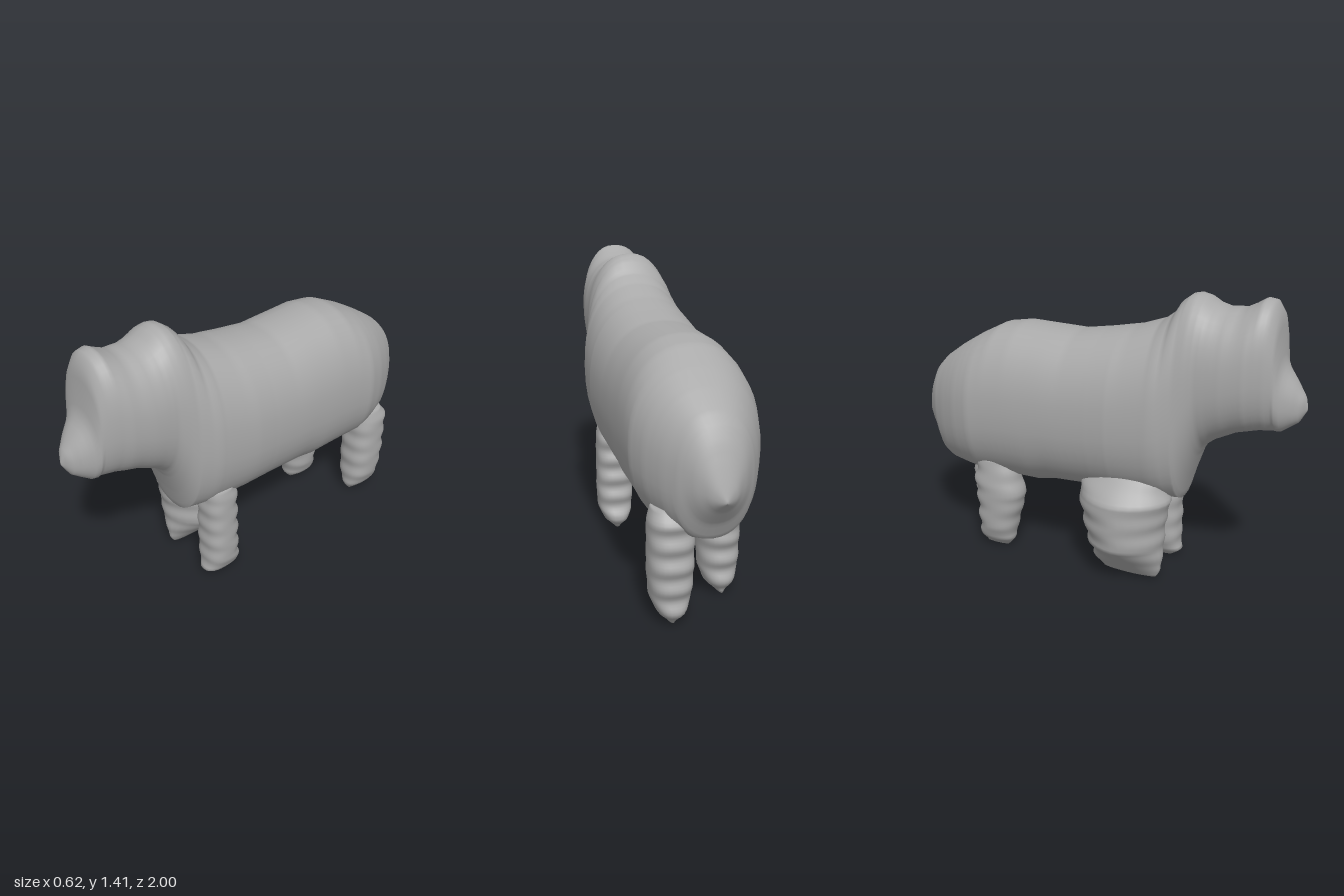
import * as THREE from 'three';

// Read a value from a list of [position, value] pairs
function sample(table, p) {
  if (p <= table[0][0]) return table[0][1];
  for (let i = 1; i < table.length; i++) {
    const [a, va] = table[i - 1], [b, vb] = table[i];
    if (p <= b) return va + (vb - va) * (p - a) / (b - a);
  }
  return table[table.length - 1][1];
}

// Skin a list of closed rings and close both ends
function loft(rings) {
  const n = rings[0].length, pos = [], idx = [];
  rings.forEach(r => r.forEach(p => pos.push(p.x, p.y, p.z)));
  for (let i = 0; i < rings.length - 1; i++) {
    for (let j = 0; j < n; j++) {
      const k = (j + 1) % n, a = i * n + j, b = i * n + k;
      idx.push(a, b, a + n, b, b + n, a + n);
    }
  }
  [0, rings.length - 1].forEach((r, end) => {
    const c = pos.length / 3, mid = new THREE.Vector3();
    rings[r].forEach(p => mid.addScaledVector(p, 1 / n));
    pos.push(mid.x, mid.y, mid.z);
    for (let j = 0; j < n; j++) {
      const a = r * n + j, b = r * n + (j + 1) % n;
      end ? idx.push(a, b, c) : idx.push(b, a, c);
    }
  });
  const g = new THREE.BufferGeometry();
  g.setAttribute('position', new THREE.Float32BufferAttribute(pos, 3));
  g.setIndex(idx);
  g.computeVertexNormals();
  return g;
}

// Superellipse coordinates
function oval(count, power) {
  const f = v => Math.sign(v) * Math.pow(Math.abs(v), 2 / power);
  return Array.from({ length: count }, (_, j) => {
    const a = j / count * Math.PI * 2;
    return [f(Math.cos(a)), f(Math.sin(a))];
  });
}

// Outline of back, ears and muzzle, from tail to nose: [z, y]
const back = [[-1, 0.65], [-0.98, 0.72], [-0.96, 0.78], [-0.93, 0.86], [-0.9, 0.92], [-0.85, 0.97],
  [-0.75, 1.04], [-0.65, 1.1], [-0.52, 1.165], [-0.4, 1.185], [-0.1, 1.175], [0.05, 1.2], [0.2, 1.23],
  [0.33, 1.275], [0.39, 1.32], [0.42, 1.37], [0.46, 1.4], [0.49, 1.405], [0.53, 1.395], [0.57, 1.37],
  [0.62, 1.355], [0.7, 1.36], [0.75, 1.385], [0.79, 1.41], [0.83, 1.405], [0.86, 1.36], [0.87, 1.3],
  [0.88, 1.17], [0.9, 1.12], [0.95, 1.05], [0.99, 0.99], [1, 0.95]];

// Outline of belly, chest and chin: [z, y]
const belly = [[-1, 0.635], [-0.95, 0.58], [-0.89, 0.5], [-0.85, 0.42], [-0.8, 0.4], [-0.6, 0.38],
  [-0.3, 0.38], [-0.2, 0.4], [0, 0.41], [0.45, 0.415], [0.48, 0.52], [0.52, 0.64], [0.55, 0.7],
  [0.6, 0.74], [0.7, 0.79], [0.8, 0.815], [0.9, 0.825], [0.97, 0.875], [1, 0.93]];

// Half-width seen from above: [z, x]
const girth = [[-1, 0.005], [-0.98, 0.05], [-0.93, 0.11], [-0.87, 0.165], [-0.8, 0.21], [-0.7, 0.26],
  [-0.6, 0.292], [0.15, 0.292], [0.36, 0.272], [0.45, 0.237], [0.54, 0.212], [0.65, 0.205],
  [0.75, 0.19], [0.83, 0.16], [0.88, 0.13], [0.94, 0.085], [0.98, 0.045], [1, 0.005]];

function bodyGeometry() {
  const stations = Array.from({ length: 101 }, (_, i) => -1 + i * 0.02);
  [back, belly, girth].forEach(t => t.forEach(([z]) => stations.push(z)));
  const zs = [...new Set(stations.map(z => +z.toFixed(3)))].sort((a, b) => a - b);
  const ring = oval(40, 2.25);
  return loft(zs.map(z => {
    const top = sample(back, z), low = sample(belly, z), w = sample(girth, z);
    return ring.map(([u, v]) => new THREE.Vector3(
      0.012 + u * w, (top + low) / 2 + v * (top - low) / 2, z));
  }));
}

// Leg rows: [y, back z, front z, half-width]
function legGeometry(cx, rows, power) {
  const column = k => rows.map(r => [r[0], r[k]]);
  const [zBack, zFront, half] = [1, 2, 3].map(column);
  const y0 = rows[0][0], y1 = rows[rows.length - 1][0], ring = oval(28, power);
  return loft(Array.from({ length: 41 }, (_, i) => {
    const y = y0 + (y1 - y0) * i / 40;
    // Uneven, wrinkled front and back edges
    const ripple = 0.008 * Math.sin(y * 62);
    const b = sample(zBack, y) + ripple, f = sample(zFront, y) + ripple * 0.4, w = sample(half, y);
    return ring.map(([u, v]) => new THREE.Vector3(cx + u * w, y, (b + f) / 2 - v * (f - b) / 2));
  }));
}

export function createModel() {
  const group = new THREE.Group();
  const grey = new THREE.MeshStandardMaterial({ color: 0xaaaaaa });
  grey.name = 'plain grey';
  const add = (name, geometry) => {
    const mesh = new THREE.Mesh(geometry, grey);
    mesh.name = name;
    group.add(mesh);
  };

  add('bodyAndHead', bodyGeometry());

  // Slim front leg on the left
  add('frontLeftLeg', legGeometry(0.155, [
    [0, 0.22, 0.34, 0.015], [0.04, 0.18, 0.39, 0.06], [0.1, 0.2, 0.38, 0.087],
    [0.2, 0.205, 0.38, 0.093], [0.5, 0.21, 0.38, 0.09], [0.55, 0.22, 0.37, 0.08]], 2.5));

  // Broad, swollen front leg on the right
  add('frontRightLeg', legGeometry(-0.125, [
    [0.015, 0.08, 0.36, 0.02], [0.06, 0.04, 0.39, 0.06], [0.19, 0.01, 0.395, 0.178],
    [0.3, -0.015, 0.4, 0.188], [0.43, -0.04, 0.425, 0.188], [0.55, 0, 0.38, 0.08]], 1.8));

  add('rearLeftLeg', legGeometry(0.16, [
    [0.005, -0.78, -0.65, 0.015], [0.05, -0.82, -0.62, 0.06], [0.12, -0.82, -0.62, 0.09],
    [0.25, -0.83, -0.62, 0.1], [0.48, -0.83, -0.63, 0.1], [0.54, -0.8, -0.65, 0.08]], 2.4));

  add('rearRightLeg', legGeometry(-0.13, [
    [0.005, -0.6, -0.47, 0.015], [0.05, -0.62, -0.43, 0.065], [0.12, -0.62, -0.42, 0.09],
    [0.3, -0.63, -0.37, 0.1], [0.36, -0.64, -0.38, 0.1], [0.5, -0.62, -0.42, 0.08]], 2.2));

  return group;
}
